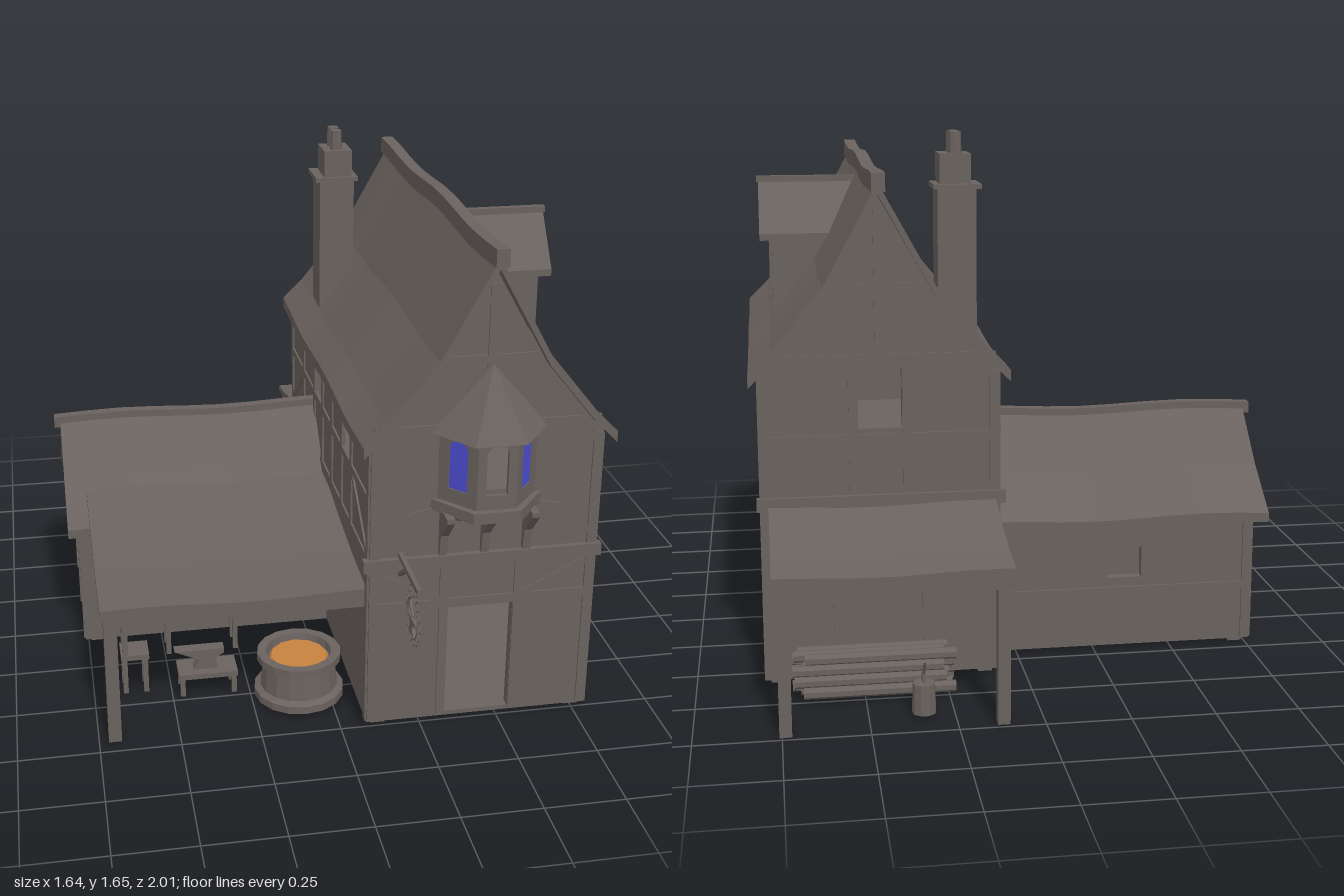
import * as THREE from 'three';
import { ConvexGeometry } from 'three/addons/geometries/ConvexGeometry.js';

const mat = (name, color) => Object.assign(new THREE.MeshStandardMaterial({ color, flatShading: true }), { name });

export function createModel() {
  const root = new THREE.Group();
  const timber = mat('weathered timber', 0x6a625e);
  const glass = mat('blue glass', 0x4c4ccf);
  const wood = mat('cut wood', 0xc5823f);
  const V = (x, y, z) => new THREE.Vector3(x, y, z);

  const add = (name, geo, parent = root, m = timber) => {
    const mesh = new THREE.Mesh(geo, m);
    mesh.name = name;
    parent.add(mesh);
    return mesh;
  };
  // box given by its limits
  const box = (name, x0, x1, y0, y1, z0, z1, parent = root, m = timber) =>
    add(name, new THREE.BoxGeometry(x1 - x0, y1 - y0, z1 - z0)
      .translate((x0 + x1) / 2, (y0 + y1) / 2, (z0 + z1) / 2), parent, m);
  const cyl = (name, x, y0, y1, z, r0, r1, sides = 8, parent = root, m = timber) =>
    add(name, new THREE.CylinderGeometry(r1, r0, y1 - y0, sides).translate(x, (y0 + y1) / 2, z), parent, m);
  // square bar between two points
  const bar = (name, a, b, w, parent = root, d = w) => {
    const mesh = add(name, new THREE.BoxGeometry(w, d, a.distanceTo(b)), parent);
    mesh.position.copy(a).lerp(b, 0.5);
    mesh.lookAt(b);
    return mesh;
  };
  const rect = (u0, u1, y0, y1) => [[u0, y0], [u1, y0], [u1, y1], [u0, y1]];
  const toV2 = pts => pts.map(p => new THREE.Vector2(...p));
  // outline pulled from a to b along z (outline x,y) or along x (outline z,y)
  const sweep = (name, pts, a, b, { axis = 'z', holes = [], steps = 1, wave } = {}) => {
    const map = p => axis === 'z' ? p : [-p[0], p[1]];
    const shape = new THREE.Shape(toV2(pts.map(map)));
    holes.forEach(h => shape.holes.push(new THREE.Path(toV2(h.map(map)))));
    const geo = new THREE.ExtrudeGeometry(shape, { depth: b - a, steps, bevelEnabled: false });
    if (axis === 'z') geo.translate(0, 0, a);
    else geo.rotateY(Math.PI / 2).translate(a, 0, 0);
    if (wave) {
      const p = geo.attributes.position;
      for (let i = 0; i < p.count; i++) p.setY(i, p.getY(i) + wave(axis === 'z' ? p.getZ(i) : p.getX(i)));
      geo.computeVertexNormals();
    }
    return add(name, geo);
  };
  const slab = (pts, t) => [...pts, ...pts.slice().reverse().map(([u, y]) => [u, y - t])];

  // main house walls
  const gable = [[0.08, 0.015], [0.79, 0.015], [0.79, 0.97], [0.6, 1.185], [0.435, 1.48], [0.27, 1.185], [0.08, 0.97]];
  sweep('frontWall', gable, 0.72, 0.75, { holes: [rect(0.33, 0.535, 0.03, 0.4), rect(0.34, 0.53, 0.79, 0.97)] });
  sweep('backWall', gable, -0.6, -0.57, { holes: [rect(0.37, 0.5, 0.79, 0.97)] });
  const side = rect(-0.57, 0.72, 0.015, 0.975);
  const upperWindow = rect(0.35, 0.47, 0.79, 0.91);
  sweep('leftWall', side, 0.76, 0.79, { axis: 'x', holes: [upperWindow, rect(-0.29, -0.17, 0.79, 0.91),
    rect(0.25, 0.41, 0.25, 0.52), rect(-0.08, 0.08, 0.25, 0.52)] });
  sweep('rightWall', side, 0.08, 0.11, { axis: 'x', holes: [upperWindow, rect(-0.13, -0.01, 0.79, 0.91)] });
  box('groundFloor', 0.08, 0.79, 0.015, 0.03, -0.6, 0.75);
  box('upperFloor', 0.1, 0.77, 0.56, 0.58, -0.58, 0.73);
  box('floorBeamFront', 0.06, 0.805, 0.548, 0.588, 0.74, 0.767);
  box('floorBeamBack', 0.06, 0.805, 0.548, 0.588, -0.612, -0.59);
  for (const z of [0.25, 0.33, 0.41]) box('windowBar', 0.782, 0.795, 0.25, 0.52, z - 0.006, z + 0.006);
  for (const z of [-0.08, 0, 0.08]) box('windowBar', 0.782, 0.795, 0.25, 0.52, z - 0.006, z + 0.006);

  // exposed timber framing, drawn on each wall's own plane: [x0, y0, x1, y1, width]
  const framing = (name, pos, turn, beams) => {
    const g = new THREE.Group();
    g.name = name;
    g.position.copy(pos);
    g.rotation.y = turn;
    for (const [x0, y0, x1, y1, w = 0.028] of beams) {
      const m = add('wallTimber', new THREE.BoxGeometry(Math.hypot(x1 - x0, y1 - y0), w, 0.012), g);
      m.position.set((x0 + x1) / 2, (y0 + y1) / 2, 0);
      m.rotation.z = Math.atan2(y1 - y0, x1 - x0);
    }
    root.add(g);
  };
  const posts = (xs, y0, y1) => xs.map(x => [x, y0, x, y1]);
  const gableBeams = [...posts([0.095, 0.775], 0.02, 0.96), [0.09, 1.0, 0.78, 1.0], [0.28, 1.21, 0.59, 1.21],
    [0.09, 0.42, 0.78, 0.42], [0.435, 1.01, 0.435, 1.44], [0.14, 1.01, 0.42, 1.4, 0.022], [0.73, 1.01, 0.45, 1.4, 0.022],
    [0.1, 0.96, 0.25, 0.78, 0.022], [0.77, 0.96, 0.62, 0.78, 0.022]];
  const arches = [0, 1].flatMap(s => [[0.09, 0.6, 0.13, 0.67], [0.13, 0.67, 0.19, 0.72], [0.19, 0.72, 0.27, 0.74]]
    .map(([a, b, c, d]) => s ? [0.87 - a, b, 0.87 - c, d, 0.014] : [a, b, c, d, 0.014]));
  framing('frontFraming', V(0, 0, 0.75), 0, [...gableBeams, ...arches, ...posts([0.315, 0.55], 0.02, 0.55),
    [0.11, 0.53, 0.3, 0.43, 0.02], [0.76, 0.53, 0.565, 0.43, 0.02]]);
  framing('backFraming', V(0.87, 0, -0.6), Math.PI, [...gableBeams, ...posts([0.355, 0.515], 0.59, 1),
    ...posts([0.3, 0.57], 0.02, 0.55), [0.09, 0.76, 0.78, 0.76], [0.11, 0.6, 0.3, 0.75, 0.02], [0.76, 0.6, 0.57, 0.75, 0.02]]);
  const sideBeams = [[-0.75, 0.57, 0.6, 0.57, 0.04], [-0.75, 0.53, 0.6, 0.53, 0.016], [-0.75, 0.03, 0.6, 0.03],
    ...posts([-0.735, -0.425, -0.235, -0.095, 0.095, 0.35, 0.585], 0.02, 0.55)];
  framing('leftFraming', V(0.79, 0, 0), Math.PI / 2, [...sideBeams, [-0.75, 0.235, 0.6, 0.235], [-0.75, 0.775, 0.6, 0.775],
    ...posts([-0.735, -0.485, -0.335, 0, 0.155, 0.305, 0.585], 0.59, 0.95), [-0.72, 0.6, -0.5, 0.76, 0.02],
    [-0.31, 0.76, -0.02, 0.6, 0.02], [0.32, 0.6, 0.57, 0.76, 0.02], [0.37, 0.24, 0.57, 0.5, 0.02]]);
  framing('rightFraming', V(0.08, 0, 0), -Math.PI / 2, [[-0.6, 0.57, 0.75, 0.57, 0.04], [-0.6, 0.775, 0.75, 0.775],
    ...posts([-0.585, -0.35, -0.145, 0.005, 0.17, 0.335, 0.485, 0.735], 0.59, 0.95), ...posts([0.735, -0.585], 0.02, 0.55),
    [-0.57, 0.6, -0.37, 0.76, 0.02], [0.72, 0.6, 0.5, 0.76, 0.02]]);

  // main roof and ridge
  const sagZ = z => 0.008 * Math.sin(z * 8 + 0.3) - 0.004 + 0.008 * z;
  const roofLine = [[0.05, 0.965], [0.12, 1.035], [0.27, 1.22], [0.435, 1.52], [0.6, 1.22], [0.75, 1.035], [0.82, 0.965]];
  sweep('mainRoof', slab(roofLine, 0.035), -0.64, 0.79, { steps: 10, wave: sagZ });
  sweep('mainRidge', rect(0.415, 0.455, 1.495, 1.55), -0.66, 0.81, { steps: 10, wave: sagZ });

  // chimney
  box('chimneyStack', 0.125, 0.243, 0.98, 1.48, -0.445, -0.315);
  box('chimneyCap', 0.11, 0.255, 1.48, 1.495, -0.455, -0.305);
  box('chimneyTop', 0.14, 0.235, 1.495, 1.585, -0.435, -0.315);
  for (const z of [-0.345, -0.4]) cyl('chimneyPot', 0.185, 1.58, 1.65, z, 0.021, 0.019);

  // roof dormer
  sweep('dormerBody', [[0, 1.04], [0.23, 1.04], [0.23, 1.3], [0.115, 1.45], [0, 1.3]], 0.5, 0.735, { axis: 'x' });
  sweep('dormerRoof', slab([[-0.015, 1.305], [0.115, 1.475], [0.24, 1.305]], 0.022), 0.46, 0.775, { axis: 'x' });
  box('dormerRidge', 0.46, 0.78, 1.462, 1.482, 0.103, 0.127);
  const arch = (w, y0, y1) => [[-w, y0], [w, y0], [w, y1 - w * 0.5], [w * 0.5, y1], [-w * 0.5, y1], [-w, y1 - w * 0.5]];
  sweep('dormerWindowFrame', arch(0.06, 1.1, 1.34).map(([u, y]) => [u + 0.115, y]), 0.735, 0.745,
    { axis: 'x', holes: [arch(0.042, 1.12, 1.32).map(([u, y]) => [u + 0.115, y])] });

  // oriel window on the front
  const plan = (g, y) => [V(0.435 - 0.15 - g, y, 0.75), V(0.375 - g * 0.6, y, 0.855 + g), V(0.495 + g * 0.6, y, 0.855 + g), V(0.585 + g, y, 0.75)];
  const oriel = new THREE.Group();
  oriel.name = 'orielWindow';
  root.add(oriel);
  add('orielBase', new ConvexGeometry([...plan(0.02, 0.74), ...plan(0.02, 0.775)]), oriel);
  add('orielCorbel', new ConvexGeometry([...plan(0, 0.74), V(0.32, 0.7, 0.75), V(0.55, 0.7, 0.75), V(0.4, 0.71, 0.8), V(0.47, 0.71, 0.8)]), oriel);
  add('orielRoof', new ConvexGeometry([...plan(0.03, 0.99), V(0.435, 1.2, 0.77), V(0.435, 1.2, 0.74)]), oriel);
  const corners = plan(0, 0);
  for (let i = 0; i < 3; i++) {
    const [a, b] = [corners[i], corners[i + 1]];
    const w = a.distanceTo(b) / 2;
    const shape = new THREE.Shape(toV2(rect(-w, w, 0.775, 1.0)));
    shape.holes.push(new THREE.Path(toV2(arch(0.033, 0.82, 0.975))));
    const panel = add('orielPanel', new THREE.ExtrudeGeometry(shape, { depth: 0.014, bevelEnabled: false }).translate(0, 0, -0.014), oriel);
    panel.position.copy(a).lerp(b, 0.5);
    panel.rotation.y = -Math.atan2(b.z - a.z, b.x - a.x);
    if (i !== 1) {
      const pane = box('orielGlass', -0.034, 0.034, 0.82, 0.975, -0.009, -0.004, panel, glass);
      pane.name = 'orielGlass';
    }
  }
  for (const x of [0.305, 0.435, 0.565]) {
    sweep('orielBracket', [[0.74, 0.59], [0.765, 0.59], [0.775, 0.66], [0.84, 0.73], [0.84, 0.745], [0.74, 0.745]], x - 0.012, x + 0.012, { axis: 'x' });
  }

  // side wing
  const wingGable = [[-0.46, 0.015], [0.09, 0.015], [0.09, 0.45], [-0.18, 0.715], [-0.46, 0.45]];
  sweep('wingEndWall', wingGable, -0.76, -0.73, { axis: 'x', holes: [rect(-0.17, 0.05, 0.03, 0.37)] });
  sweep('wingBackWall', rect(-0.73, 0.08, 0.015, 0.45), -0.46, -0.43, { holes: [rect(-0.4, -0.29, 0.24, 0.34)] });
  box('wingFrontWall', -0.73, 0.08, 0.015, 0.45, 0.06, 0.09);
  box('wingFloor', -0.76, 0.08, 0.015, 0.03, -0.46, 0.09);
  framing('wingEndFraming', V(-0.76, 0, 0), -Math.PI / 2, [...posts([-0.445, -0.185, 0.075], 0.02, 0.43), [-0.46, 0.42, 0.09, 0.42]]);
  framing('wingBackFraming', V(0, 0, -0.46), Math.PI, [...posts([0.745, -0.06], 0.02, 0.43), [-0.07, 0.2, 0.75, 0.2, 0.02]]);
  const sagX = x => 0.006 * Math.sin(x * 9 + 0.6);
  sweep('wingRoof', slab([[-0.51, 0.45], [-0.35, 0.57], [-0.18, 0.735], [-0.02, 0.575], [0.13, 0.455]], 0.03), -0.8, 0.085, { axis: 'x', steps: 8, wave: sagX });
  sweep('wingRidge', rect(-0.197, -0.163, 0.705, 0.742), -0.82, 0.085, { axis: 'x', steps: 8, wave: sagX });

  // open forge shelter in front of the wing
  sweep('shelterRoof', slab([[0.03, 0.545], [0.27, 0.505], [0.5, 0.478], [0.72, 0.468]], 0.025), -0.73, 0.08, { axis: 'x', steps: 8, wave: sagX });
  box('shelterBeamFront', -0.72, 0.08, 0.4, 0.445, 0.655, 0.7);
  box('shelterBeamSide', -0.72, -0.68, 0.405, 0.445, 0.09, 0.66);
  box('shelterPost', -0.72, -0.68, 0.0, 0.42, 0.655, 0.7);

  // back porch
  sweep('porchRoof', slab([[-0.6, 0.56], [-0.75, 0.515], [-0.88, 0.485], [-1.0, 0.468]], 0.02), 0.09, 0.77, { axis: 'x', steps: 6, wave: x => 0.005 * Math.sin(x * 10) });
  box('porchBeam', 0.1, 0.76, 0.405, 0.45, -0.985, -0.95);
  for (const x of [0.12, 0.74]) {
    box('porchPost', x - 0.018, x + 0.018, 0, 0.42, -0.985, -0.95);
    box('porchSideBeam', x - 0.016, x + 0.016, 0.41, 0.44, -0.96, -0.6);
  }

  // foundation feet
  for (const [x, z] of [[0.12, 0.71], [0.755, 0.71], [0.755, -0.56], [0.12, -0.56], [-0.72, -0.42], [-0.72, 0.05]])
    box('foundationFoot', x - 0.022, x + 0.022, 0, 0.016, z - 0.022, z + 0.022);

  // firewood stack, chopping block and axe
  [5, 4, 4, 3].forEach((n, row) => {
    for (let i = 0; i < n; i++) {
      const jitter = Math.sin(row * 7.3 + i * 4.1) * 0.02;
      const log = add('firewoodLog', new THREE.CylinderGeometry(0.018, 0.018, 0.45, 7).rotateZ(Math.PI / 2), root, [timber, wood, wood]);
      log.position.set(0.47 + jitter, 0.033 + row * 0.028, -0.628 - i * 0.033 - (row % 2) * 0.016);
    }
  });
  cyl('choppingBlock', 0.34, 0.01, 0.1, -0.885, 0.036, 0.033, 9);
  bar('axeHandle', V(0.34, 0.11, -0.875), V(0.34, 0.175, -0.915), 0.007);
  box('axeHead', 0.335, 0.345, 0.095, 0.125, -0.89, -0.865);

  // round forge hearth with coals
  const hearth = [[0, 0.01], [0.145, 0.01], [0.145, 0.035], [0.125, 0.045], [0.118, 0.125], [0.135, 0.135], [0.135, 0.16], [0.105, 0.16], [0.1, 0.135], [0, 0.135]];
  add('hearth', new THREE.LatheGeometry(toV2(hearth), 16).translate(-0.095, 0, 0.52));
  cyl('coals', -0.095, 0.13, 0.145, 0.52, 0.1, 0.09, 12, root, wood);

  // workbench, anvil, tool rack and chair
  const table = (name, x0, x1, h, z0, z1) => {
    box(name, x0, x1, h - 0.018, h, z0, z1);
    for (const x of [x0 + 0.012, x1 - 0.012]) for (const z of [z0 + 0.012, z1 - 0.012])
      box(name + 'Leg', x - 0.008, x + 0.008, 0.01, h - 0.01, z - 0.008, z + 0.008);
  };
  table('workbench', -0.5, -0.25, 0.18, 0.13, 0.23);
  table('anvilBench', -0.48, -0.29, 0.09, 0.4, 0.5);
  sweep('anvil', [[-0.43, 0.09], [-0.35, 0.09], [-0.37, 0.12], [-0.33, 0.145], [-0.33, 0.16], [-0.49, 0.16], [-0.41, 0.125]], 0.43, 0.47);
  for (let i = 0; i < 7; i++) {
    const x = -0.53 + i * 0.045;
    box('toolHandle', x - 0.003, x + 0.003, 0.175, 0.25, 0.177, 0.183);
    box('toolHead', x - 0.014, x + 0.014, 0.24, 0.252, 0.172, 0.188);
  }
  table('chairSeat', -0.66, -0.57, 0.15, 0.36, 0.45);
  for (const z of [0.37, 0.44]) box('chairBackPost', -0.655, -0.637, 0.14, 0.255, z - 0.008, z + 0.008);
  for (const y of [0.19, 0.23]) box('chairBackRail', -0.651, -0.641, y, y + 0.015, 0.37, 0.44);

  // hanging smith's sign
  const sign = new THREE.Group();
  sign.name = 'hangingSign';
  root.add(sign);
  box('signArm', 0.169, 0.183, 0.588, 0.604, 0.75, 0.99, sign);
  bar('signBrace', V(0.176, 0.53, 0.75), V(0.176, 0.592, 0.84), 0.012, sign);
  const ring = (r, t, y, z, n) => add('signRing', new THREE.TorusGeometry(r, t, 4, n).rotateY(Math.PI / 2).translate(0.176, y, z), sign);
  ring(0.062, 0.004, 0.475, 0.92, 20);
  for (let i = 0; i < 14; i++) {
    const a = i / 14 * Math.PI * 2;
    ring(0.012, 0.003, 0.475 + Math.sin(a) * 0.073, 0.92 + Math.cos(a) * 0.073, 8);
  }
  for (const z of [0.885, 0.955]) for (const y of [0.555, 0.575]) ring(0.011, 0.003, y, z, 8);
  sweep('signAnvil', [[0.89, 0.425], [0.95, 0.425], [0.93, 0.445], [0.935, 0.46], [0.965, 0.475], [0.88, 0.475], [0.905, 0.455], [0.905, 0.445]], 0.171, 0.181, { axis: 'x' });
  bar('signHammer', V(0.176, 0.48, 0.92), V(0.176, 0.515, 0.885), 0.007, sign);
  return root;
}
